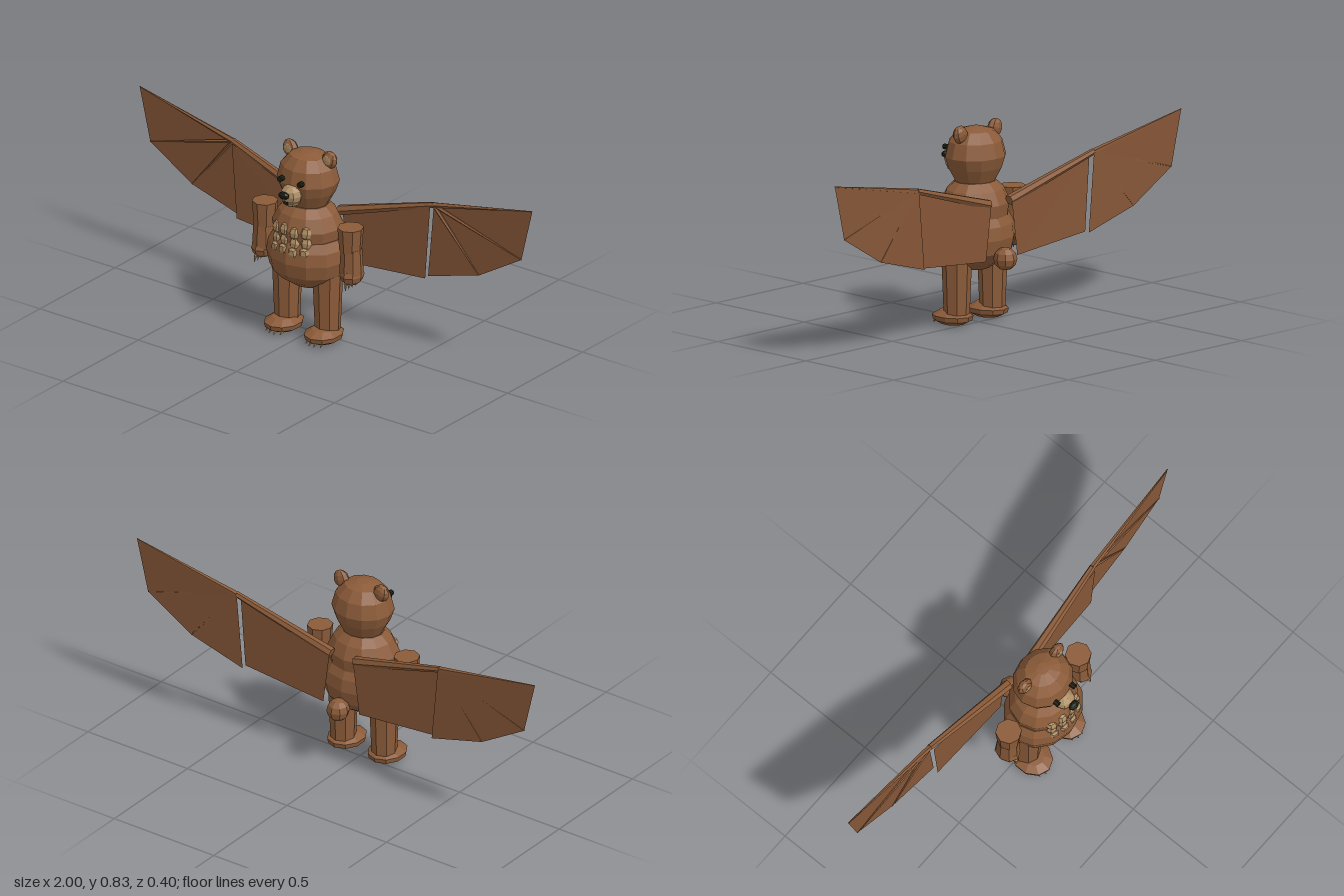
import * as THREE from 'three';

const flat = (name, color, side = THREE.FrontSide) => {
  const m = new THREE.MeshStandardMaterial({ color, flatShading: true, side });
  m.name = name;
  return m;
};

export function createModel() {
  const model = new THREE.Group();
  model.name = 'wingedBear';
  const fur = flat('brown fur', 0x8b5b39);
  const skin = flat('wing skin', 0x855637, THREE.DoubleSide);
  const tan = flat('tan', 0xac8c63);
  const black = flat('near black', 0x1c2013);

  const add = (name, geo, mat, x = 0, y = 0, z = 0, parent = model) => {
    const m = new THREE.Mesh(geo, mat);
    m.name = name;
    m.position.set(x, y, z);
    parent.add(m);
    return m;
  };
  const lathe = (pts, sides, sx = 1, sz = 1) =>
    new THREE.LatheGeometry(pts.map(p => new THREE.Vector2(p[0], p[1])), sides).scale(sx, 1, sz);
  const ball = (rx, ry, rz, w = 8, h = 6) => new THREE.SphereGeometry(1, w, h).scale(rx, ry, rz);
  // Tapered rod between two points
  const rod = (name, a, b, r0, r1, mat, sides, parent) => {
    const p = new THREE.Vector3(...a), q = new THREE.Vector3(...b);
    const d = q.clone().sub(p);
    const m = add(name, new THREE.CylinderGeometry(r1, r0, d.length(), sides), mat, 0, 0, 0, parent);
    m.position.copy(p).add(q).multiplyScalar(0.5);
    m.quaternion.setFromUnitVectors(new THREE.Vector3(0, 1, 0), d.normalize());
    return m;
  };
  // Flat fan of triangles, first point is the hub
  const fan = (name, pts, parent) => {
    const g = new THREE.BufferGeometry();
    const index = [];
    for (let i = 1; i < pts.length - 1; i++) index.push(0, i, i + 1);
    g.setAttribute('position', new THREE.Float32BufferAttribute(pts.flat(), 3));
    g.setIndex(index);
    g.computeVertexNormals();
    return add(name, g, skin, 0, 0, 0, parent);
  };

  // Torso and head
  add('belly', lathe([[0, 0.222], [0.055, 0.226], [0.105, 0.26], [0.14, 0.3], [0.152, 0.36],
    [0.145, 0.413], [0.126, 0.452], [0, 0.455]], 12, 1.18), fur, 0, 0, 0.022);
  add('chest', lathe([[0, 0.44], [0.128, 0.442], [0.136, 0.5], [0.112, 0.555], [0.08, 0.588],
    [0, 0.59]], 12, 1.12), fur, 0, 0, 0.022);
  add('head', lathe([[0, 0.583], [0.075, 0.585], [0.105, 0.645], [0.119, 0.692], [0.104, 0.755],
    [0.07, 0.797], [0.025, 0.811], [0, 0.812]], 12, 1.12), fur, 0, 0, 0.02);
  add('tail', ball(0.048, 0.048, 0.049), fur, 0, 0.288, -0.15);

  // Face
  add('muzzle', ball(0.048, 0.043, 0.048), tan, 0, 0.658, 0.13);
  add('jaw', ball(0.038, 0.024, 0.04), tan, 0, 0.63, 0.13);
  add('nose', ball(0.026, 0.015, 0.017, 8, 5), black, 0, 0.67, 0.184);
  add('mouth', new THREE.BoxGeometry(0.018, 0.012, 0.008), black, 0, 0.632, 0.168);

  // Stomach muscles, three rows of four lumps
  const rows = [[0.497, 0.151], [0.453, 0.149], [0.41, 0.16]];
  rows.forEach(([y, z], r) => {
    for (let c = 0; c < 4; c++) {
      const x = (c - 1.5) * 0.048;
      const lump = add('stomachMuscle', ball(0.025, 0.027, 0.018, 6, 4), tan,
        x, y + (c % 2 ? 0.004 : -0.002), z - Math.abs(x) * 0.28);
      lump.rotation.set(r === 2 ? 0.2 : -0.2, x * 4, 0);
    }
  });

  for (const s of [1, -1]) {
    const side = s > 0 ? 'left' : 'right';

    // Ear and eye
    const ear = add(side + 'Ear', ball(0.037, 0.038, 0.024), fur, s * 0.1, 0.793, 0.008);
    ear.rotation.z = -s * 0.3;
    add(side + 'InnerEar', ball(0.02, 0.021, 0.004, 8, 4), tan, s * 0.1, 0.797, 0.029).scale.z = 0.8;
    const eye = add(side + 'Eye', new THREE.CylinderGeometry(0.012, 0.012, 0.022, 8), black,
      s * 0.05, 0.715, 0.137);
    eye.rotation.x = Math.PI / 2;

    // Arm, hand and claws
    const arm = new THREE.Group();
    arm.name = side + 'Arm';
    model.add(arm);
    add('upperArm', new THREE.CylinderGeometry(0.054, 0.046, 0.103, 8), fur, s * 0.218, 0.48, 0.023, arm);
    add('forearm', new THREE.CylinderGeometry(0.044, 0.05, 0.11, 8), fur, s * 0.222, 0.385, 0.023, arm);
    add('hand', ball(0.047, 0.043, 0.057), fur, s * 0.225, 0.323, 0.023, arm);
    for (let i = 0; i < 4; i++) {
      const z = 0.072 - i * 0.022;
      rod('claw', [s * 0.228, 0.3, z], [s * 0.232, 0.27, z + 0.004], 0.008, 0.001, tan, 5, arm);
    }

    // Leg, foot and claws
    const leg = new THREE.Group();
    leg.name = side + 'Leg';
    model.add(leg);
    add('shin', new THREE.CylinderGeometry(0.063, 0.053, 0.25, 8), fur, s * 0.103, 0.175, 0.025, leg);
    add('foot', lathe([[0, 0.002], [0.6, 0.006], [0.95, 0.022], [1, 0.042], [0.6, 0.062], [0, 0.067]],
      10, 0.077, 0.091), fur, s * 0.102, 0, 0.049, leg);
    for (const dx of [-0.036, -0.012, 0.012, 0.036]) {
      const z = 0.132 - Math.abs(dx) * 0.5;
      rod('claw', [s * 0.102 + dx, 0.024, z - 0.012], [s * 0.102 + dx, 0.008, z + 0.008],
        0.009, 0.002, tan, 5, leg);
    }

    // Wing: bones carrying an inner skin and three outer skins
    const wing = new THREE.Group();
    wing.name = side + 'Wing';
    model.add(wing);
    const p = (x, y, z) => [s * x, y, z];
    const root = p(0.06, 0.515, -0.112), joint = p(0.51, 0.65, -0.148), tip = p(1, 0.75, -0.165);
    const mid = p(0.945, 0.52, -0.164), low = p(0.73, 0.392, -0.161);
    rod('armBone', root, joint, 0.022, 0.013, fur, 6, wing);
    rod('tipBone', joint, tip, 0.012, 0.002, fur, 5, wing);
    rod('middleBone', joint, mid, 0.009, 0.002, fur, 5, wing);
    rod('lowerBone', joint, low, 0.009, 0.002, fur, 5, wing);
    fan('innerSkin', [p(0.505, 0.645, -0.131), p(0.06, 0.51, -0.129), p(0.09, 0.285, -0.129),
      p(0.48, 0.32, -0.131)], wing);
    fan('outerSkin', [p(0.505, 0.65, -0.157), p(0.475, 0.32, -0.157), low, mid, tip], wing);
  }
  return model;
}
